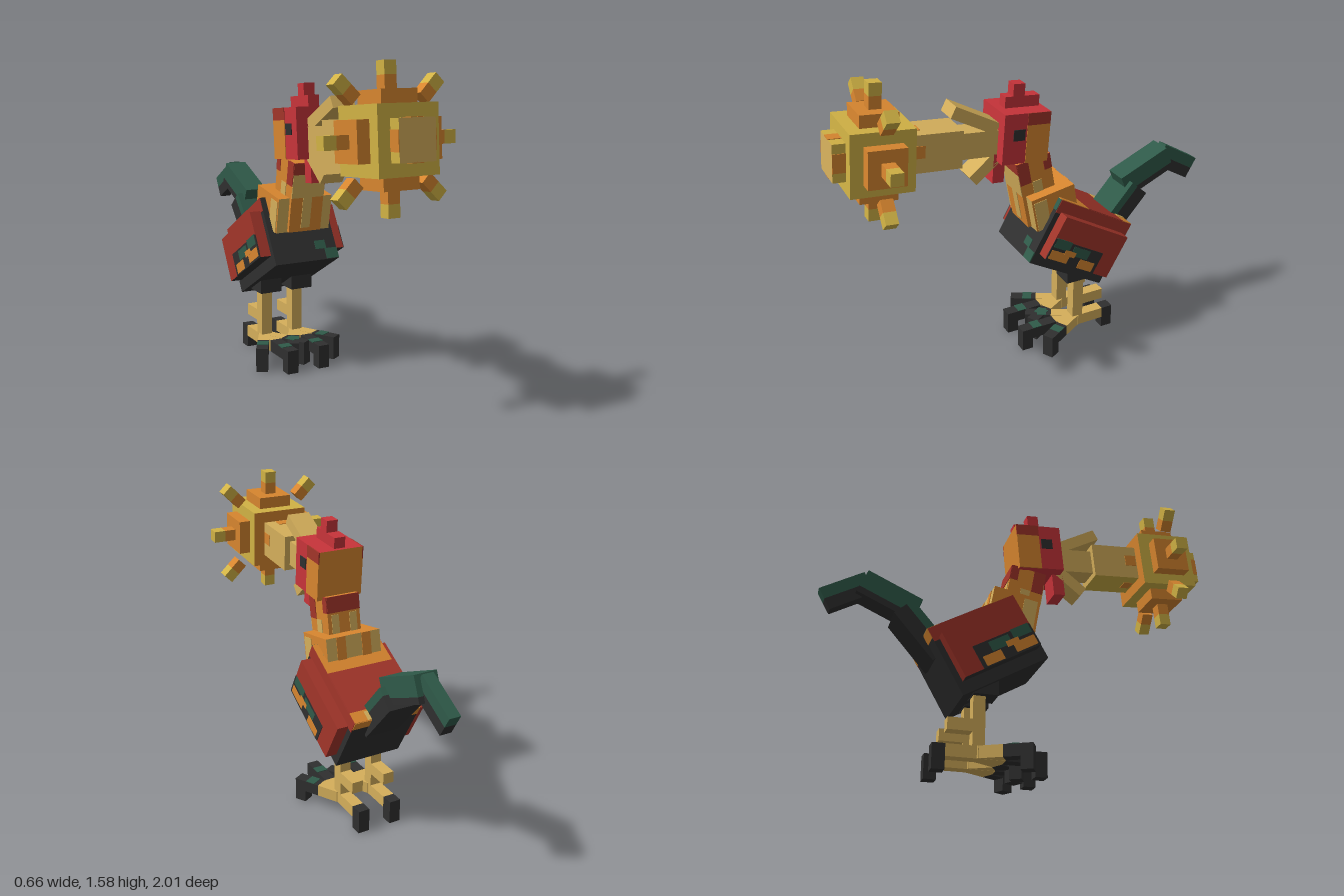
import * as THREE from 'three';

const paint = (name, color) => {
  const m = new THREE.MeshStandardMaterial({ color });
  m.name = name;
  return m;
};

export function createModel() {
  const black = paint('charcoal', 0x2f2f2f);
  const green = paint('dark green', 0x2f5a49);
  const red = paint('rust red', 0xa2352a);
  const scarlet = paint('scarlet', 0xc8343a);
  const orange = paint('orange', 0xd8862f);
  const tan = paint('straw', 0xd5af5b);
  const yellow = paint('golden yellow', 0xd2b345);

  const root = new THREE.Group();
  root.name = 'rooster';

  const group = (name, parent, pos = [0, 0, 0], degX = 0, degY = 0, degZ = 0) => {
    const g = new THREE.Group();
    g.name = name;
    g.position.set(...pos);
    g.rotation.set(...[degX, degY, degZ].map(THREE.MathUtils.degToRad));
    parent.add(g);
    return g;
  };
  const box = (name, parent, size, pos, mat) => {
    const m = new THREE.Mesh(new THREE.BoxGeometry(...size), mat);
    m.name = name;
    m.position.set(...pos);
    parent.add(m);
    return m;
  };
  const T = 0.006; // thickness of painted plates

  // Body, pitched up at the front
  const body = group('body', root, [0, 0.613, -0.207], -30);
  box('torso', body, [0.36, 0.36, 0.48], [0, 0, 0], black);
  box('backFeathers', body, [0.36, T, 0.24], [0, 0.18, -0.06], red);
  box('shoulderFeathers', body, [0.36, T, 0.18], [0, 0.18, 0.15], orange);
  box('rumpFeathers', body, [0.36, T, 0.06], [0, 0.18, -0.21], orange);
  for (const x of [-0.12, 0.06]) box('rumpSpot', body, [0.1, T, 0.05], [x, 0.182, -0.215], tan);
  box('rumpFringe', body, [0.36, 0.05, T], [0, 0.155, -0.24], orange);
  box('breastPatch', body, [0.06, 0.045, T], [0.09, -0.1, 0.24], green);
  box('breastPatch', body, [0.07, 0.055, T], [0.145, -0.15, 0.24], green);
  box('breastPatch', body, [0.03, 0.06, T], [0.165, 0.15, 0.24], green);

  // Wings with painted feather bars
  for (const s of [-1, 1]) {
    box('flank', body, [T, 0.07, 0.48], [s * 0.18, 0.145, 0], red);
    const wing = group('wing', body, [s * 0.21, 0, 0]);
    box('wingPanel', wing, [0.06, 0.24, 0.42], [0, 0, 0], [red, red, red, black, red, red]);
    const bar = (mat, y, h, z0, z1, t = T) =>
      box('wingBar', wing, [t, h, z1 - z0], [s * 0.03, y, (z0 + z1) / 2], mat);
    bar(black, -0.06, 0.12, -0.11, 0.21);
    bar(green, -0.02, 0.05, 0.1, 0.2, 0.008);
    bar(green, -0.035, 0.05, -0.03, 0.08, 0.008);
    bar(orange, -0.085, 0.05, 0.08, 0.2, 0.008);
    bar(orange, -0.09, 0.05, -0.09, 0.01, 0.008);
    bar(orange, -0.055, 0.03, 0.05, 0.12, 0.0085);
  }

  // Neck and its ruff
  const ruff = group('ruff', root, [0, 0.834, -0.07], 10);
  box('ruffBlock', ruff, [0.3, 0.18, 0.24], [0, 0, 0], [orange, orange, orange, orange, tan, tan]);
  for (const s of [-1, 1]) {
    box('ruffStreak', ruff, [T, 0.16, 0.07], [s * 0.15, -0.01, 0.075], tan);
    box('ruffStreak', ruff, [T, 0.1, 0.05], [s * 0.15, -0.04, -0.06], tan);
    box('ruffBackStreak', ruff, [0.05, 0.12, T], [s * 0.07, 0.03, -0.12], orange);
  }
  const neck = group('neck', root, [0, 0.919, -0.006], 10);
  box('neckBlock', neck, [0.18, 0.36, 0.18], [0, 0, 0], orange);
  box('throatStreak', neck, [0.05, 0.16, T], [0, -0.08, 0.09], tan);
  box('throatPatch', neck, [0.18, 0.12, T], [0, 0.06, 0.09], tan);
  box('throatTop', neck, [0.18, 0.06, T], [0, 0.15, 0.09], red);
  box('napeTop', neck, [0.18, 0.08, T], [0, 0.14, -0.09], red);
  for (const s of [-1, 1]) {
    box('neckRed', neck, [T, 0.12, 0.06], [s * 0.09, 0.12, 0.06], red);
    box('neckRed', neck, [T, 0.08, 0.04], [s * 0.09, 0.14, -0.07], red);
    box('neckStreak', neck, [T, 0.2, 0.05], [s * 0.09, -0.04, 0.0], tan);
    box('napeStreak', neck, [0.04, 0.12, T], [s * 0.05, 0.03, -0.09], tan);
  }

  // Head, comb, wattle and eyes
  const head = group('head', root, [0, 1.225, 0.075], -5);
  box('skull', head, [0.24, 0.25, 0.24], [0, 0, 0], [scarlet, scarlet, scarlet, scarlet, scarlet, orange]);
  for (const s of [-1, 1]) {
    box('cheek', head, [T, 0.19, 0.12], [s * 0.12, -0.03, -0.06], orange);
    box('brow', head, [T, 0.06, 0.12], [s * 0.12, 0.095, -0.06], red);
    box('eye', head, [0.008, 0.055, 0.06], [s * 0.12, 0.02, 0.04], black);
  }
  box('comb', head, [0.06, 0.06, 0.18], [0, 0.15, -0.01], scarlet);
  box('combTip', head, [0.06, 0.06, 0.06], [0, 0.21, 0.01], scarlet);
  box('wattle', head, [0.12, 0.15, 0.06], [0, -0.165, 0.105], scarlet);

  // Open beak
  const upper = group('upperBeak', root, [0, 1.333, 0.305], -29);
  box('upperBeakBlock', upper, [0.12, 0.06, 0.25], [0, 0, 0], tan);
  const lower = group('lowerBeak', root, [0, 1.085, 0.26], 38);
  box('lowerBeakBlock', lower, [0.12, 0.06, 0.18], [0, 0, 0], tan);

  // Shaft and spiked ball held in the beak
  const mace = group('mace', root, [0, 1.253, 0.785], -5);
  box('shaftInner', mace, [0.12, 0.13, 0.24], [0, 0, -0.49], tan);
  box('shaftOuter', mace, [0.18, 0.185, 0.26], [0, 0, -0.27], [tan, tan, tan, yellow, tan, tan]);
  for (const s of [-1, 1]) {
    box('shaftSpot', mace, [T, 0.06, 0.06], [s * 0.09, 0.01, -0.185], orange);
    box('shaftSpotTop', mace, [0.06, T, 0.05], [0, s * 0.0925, -0.185], orange);
  }
  box('ball', mace, [0.3, 0.3, 0.3], [0, 0, 0], [yellow, yellow, yellow, yellow, yellow, orange]);
  box('frontCap', mace, [0.18, 0.18, 0.06], [0, 0, 0.18], [yellow, yellow, yellow, yellow, tan, yellow]);
  for (const s of [-1, 1]) {
    box('capSpot', mace, [T, 0.09, 0.06], [s * 0.09, 0, 0.18], orange);
    box('capSpot', mace, [0.06, T, 0.06], [0, s * 0.09, 0.18], orange);
  }
  for (let i = 0; i < 8; i++) {
    const arm = group('spike', mace, [0, 0, 0], 0, 0, i * 45);
    const r = i % 2 ? 0.24 : 0.21;
    if (i % 2 === 0) box('spikeBase', arm, [0.18, 0.06, 0.18], [0, 0.18, 0], orange);
    box('spikeRoot', arm, [0.06, 0.06, 0.06], [0, r + 0.03, 0], orange);
    box('spikeTip', arm, [0.06, 0.06, 0.06], [0, r + 0.09, 0], yellow);
  }

  // Tail: three tapering feather segments
  const tail = (name, w, h, len, pos, deg, greenPart) => {
    const g = group(name, root, pos, deg);
    const gh = h * greenPart;
    box(name + 'Top', g, [w, gh, len], [0, (h - gh) / 2, 0], green);
    box(name + 'Underside', g, [w, h - gh, len], [0, -gh / 2, 0], black);
  };
  tail('tailBase', 0.18, 0.12, 0.3, [0, 0.684, -0.51], 48.5, 0.35);
  tail('tailMiddle', 0.12, 0.13, 0.3, [0, 0.86, -0.675], 23.5, 0.75);
  tail('tailTip', 0.06, 0.12, 0.24, [0, 0.87, -0.878], -30, 0.5);

  // Legs and feet
  for (const s of [-1, 1]) {
    const leg = group('leg', root, [s * 0.09, 0, -0.232]);
    box('thigh', leg, [0.12, 0.13, 0.12], [0, 0.432, 0.025], black);
    box('shin', leg, [0.06, 0.31, 0.06], [0, 0.217, 0], tan);
    box('spur', leg, [0.06, 0.06, 0.12], [0, 0.22, -0.09], tan);
    box('backToe', leg, [0.06, 0.06, 0.16], [0, 0.092, -0.075], tan);
    box('backClaw', leg, [0.06, 0.122, 0.062], [0, 0.061, -0.186], black);
    [-29, 0, 29].forEach((deg, i) => {
      const toe = group('toe', leg, [0, i === 1 ? 0 : 0.001, 0], 0, deg);
      const end = i === 1 ? 0.332 : 0.27;
      box('toeBase', toe, [0.06, 0.06, 0.15], [0, 0.092, 0.055], tan);
      box('toeScale', toe, [0.06, 0.06, end - 0.13], [0, 0.092, (end + 0.13) / 2], black);
      box('toeMark', toe, [0.06, T, 0.05], [0, 0.122, end - 0.09], green);
      box('claw', toe, [0.06, 0.122, 0.06], [0, 0.061, end - 0.03], black);
    });
  }
  return root;
}
